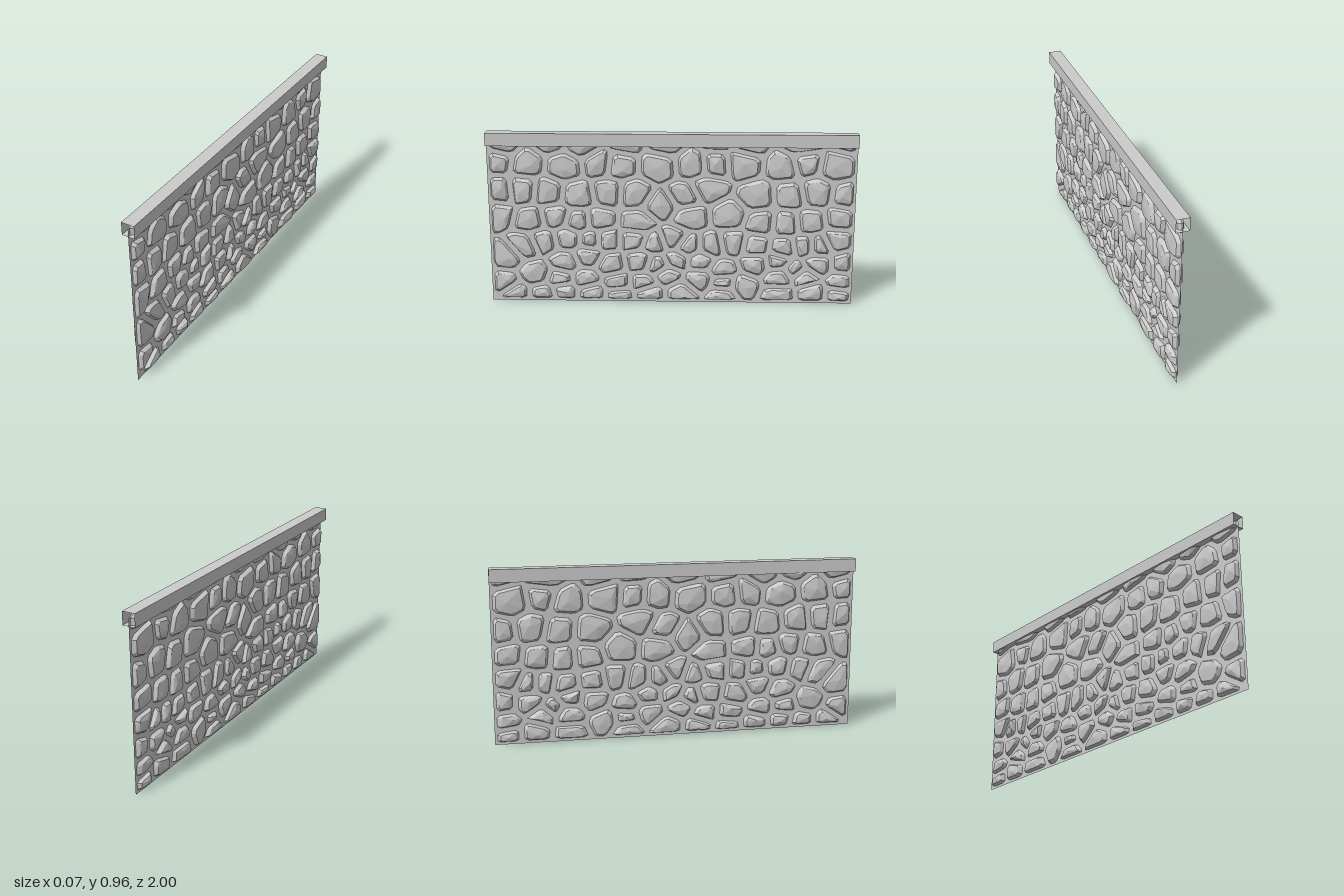
import * as THREE from 'three';
import { ConvexGeometry } from 'three/addons/geometries/ConvexGeometry.js';

// Rough courses of stones: height, number of stones
const COURSES = [[0.91, 9], [0.79, 12], [0.63, 14], [0.48, 14], [0.34, 17], [0.22, 16], [0.13, 13], [0.045, 12]];
// Large stones: z, y and the radius kept free of other centres
const LARGE = [[-0.32, 0.51, 0.15], [0.05, 0.56, 0.12], [0.77, 0.47, 0.11], [0.75, 0.16, 0.12], [-0.12, 0.79, 0.11],
  [0.39, 0.79, 0.1], [0.92, 0.26, 0.09], [0.46, 0.26, 0.09], [-0.39, 0.1, 0.08]];
const STRETCH = 0.82; // stones lie a little wider than tall
const GAP = 0.013;    // half the width of a mortar joint

let seed = 7;
const rand = () => (seed = (seed * 16807) % 2147483647) / 2147483647;

// Stone centres: the large stones, then jittered courses around them
function stoneCentres() {
  const centres = LARGE.map(([z, y]) => new THREE.Vector2(z * STRETCH, y));
  for (const [y, count] of COURSES) {
    const step = 2 / count;
    for (let i = 0; i < count; i++) {
      const z = -1 + step * (i + 0.5 + 0.55 * (rand() - 0.5));
      const h = y + 0.06 * (rand() - 0.5) * (y < 0.1 ? 0.4 : 1);
      if (LARGE.every(([lz, ly, r]) => Math.hypot(z - lz, h - ly) > r)) centres.push(new THREE.Vector2(z * STRETCH, h));
    }
  }
  return centres;
}

// Keep the part of a convex polygon where (p - m) . n <= 0
function clip(poly, m, n) {
  const out = [];
  poly.forEach((a, i) => {
    const b = poly[(i + 1) % poly.length];
    const da = a.clone().sub(m).dot(n), db = b.clone().sub(m).dot(n);
    if (da <= 0) out.push(a);
    if (da * db < 0) out.push(a.clone().lerp(b, da / (da - db)));
  });
  return out;
}

// Outline of one stone: the area nearest its centre, less the mortar joint
function outline(c, centres) {
  const w = 0.985 * STRETCH;
  let poly = [[-w, 0.015], [w, 0.015], [w, 0.94], [-w, 0.94]].map(p => new THREE.Vector2(...p));
  for (const o of centres) {
    if (o === c) continue;
    const n = o.clone().sub(c).normalize();
    const m = c.clone().add(o).multiplyScalar(0.5).addScaledVector(n, -GAP);
    poly = clip(poly, m, n);
  }
  // Chip the corners off
  return poly.flatMap((p, i) => {
    const prev = poly[(i + poly.length - 1) % poly.length], next = poly[(i + 1) % poly.length];
    return [p.clone().lerp(prev, 0.16), p.clone().lerp(next, 0.16)];
  });
}

// Faceted stone standing out on both sides of the wall
function stoneGeometry(poly) {
  const mid = poly.reduce((s, p) => s.add(p), new THREE.Vector2()).divideScalar(poly.length);
  const radius = poly.reduce((s, p) => s + p.distanceTo(mid), 0) / poly.length;
  const bevel = Math.min(0.35, 0.013 / radius);
  const points = [];
  const add = (p, x) => points.push(new THREE.Vector3(x, p.y, p.x / STRETCH));
  for (const p of poly) add(p, 0);
  for (const side of [-1, 1]) {
    for (const p of poly) add(p.clone().lerp(mid, bevel), side * (0.016 + 0.005 * rand()));
    const peak = mid.clone().add(new THREE.Vector2(rand() - 0.5, rand() - 0.5).multiplyScalar(radius * 0.5));
    add(peak, side * (0.025 + 0.004 * rand()));
  }
  return new ConvexGeometry(points);
}

export function createModel() {
  const wall = new THREE.Group();
  wall.name = 'stoneWall';
  const stoneMat = new THREE.MeshStandardMaterial({ color: 0xcccccc, flatShading: true });
  const sheetMat = new THREE.MeshStandardMaterial({ color: 0xcccccc, side: THREE.DoubleSide });

  // Thin mortar sheet between the stones
  const mortar = new THREE.Mesh(new THREE.PlaneGeometry(2, 0.93), sheetMat);
  mortar.name = 'mortarPanel';
  mortar.rotation.y = Math.PI / 2;
  mortar.position.y = 0.465;
  wall.add(mortar);

  // Stones
  const stones = new THREE.Group();
  stones.name = 'stones';
  const centres = stoneCentres();
  for (const c of centres) {
    const poly = outline(c, centres);
    if (poly.length < 6) continue;
    const stone = new THREE.Mesh(stoneGeometry(poly), stoneMat);
    stone.name = 'stone';
    stones.add(stone);
  }
  wall.add(stones);

  // Coping along the top: a square sleeve with open ends
  const coping = new THREE.Group();
  coping.name = 'coping';
  for (let i = 0; i < 4; i++) {
    const face = new THREE.Mesh(new THREE.PlaneGeometry(0.07, 2), sheetMat);
    face.name = 'copingFace';
    face.geometry.rotateX(-Math.PI / 2).translate(0, 0.035, 0).rotateZ(i * Math.PI / 2);
    coping.add(face);
  }
  coping.position.y = 0.925;
  wall.add(coping);

  return wall;
}
